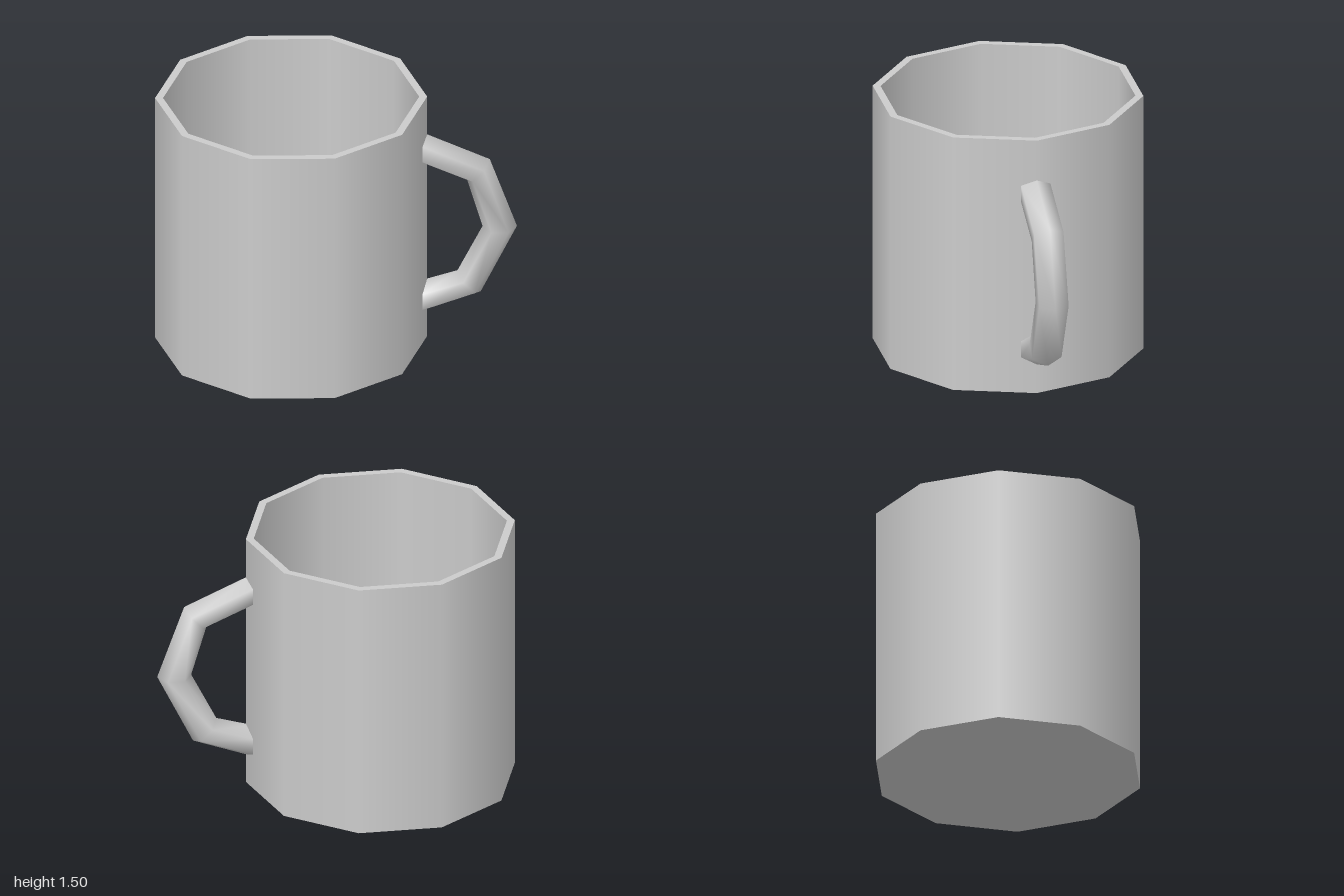
import * as THREE from 'three';

const SIDES = 10;
const material = new THREE.MeshStandardMaterial({ color: 0xcccccc });

// One smooth band of the cup, turned between two [radius, height] points
function band(name, a, b) {
  const points = [new THREE.Vector2(...a), new THREE.Vector2(...b)];
  const mesh = new THREE.Mesh(new THREE.LatheGeometry(points, SIDES, Math.PI / 2), material);
  mesh.name = name;
  return mesh;
}

// Six-sided tube lofted through mitred rings: [outerX, outerY, innerX, innerY]
function handleGeometry(rings, radius) {
  const n = 6, positions = [], indices = [];
  for (const [ox, oy, ix, iy] of rings) {
    for (let j = 0; j < n; j++) {
      const a = (j / n) * Math.PI * 2, c = Math.cos(a) / 2;
      positions.push((ox + ix) / 2 + (ox - ix) * c, (oy + iy) / 2 + (oy - iy) * c, radius * Math.sin(a));
    }
  }
  for (let i = 0; i < rings.length - 1; i++) {
    for (let j = 0; j < n; j++) {
      const a = i * n + j, b = i * n + (j + 1) % n;
      indices.push(a, b, a + n, b, b + n, a + n);
    }
  }
  const geometry = new THREE.BufferGeometry();
  geometry.setAttribute('position', new THREE.Float32BufferAttribute(positions, 3));
  geometry.setIndex(indices);
  geometry.computeVertexNormals();
  return geometry;
}

export function createModel() {
  const model = new THREE.Group();
  model.name = 'mug';

  // Cup: separate bands keep the rim and base edges sharp
  const cup = new THREE.Group();
  cup.name = 'cup';
  cup.position.x = -0.248;
  const R = 0.752, r = 0.708, H = 1.505, floor = 0.05;
  cup.add(
    band('base', [0, 0], [R, 0]),
    band('outerWall', [R, 0], [R, H]),
    band('rim', [R, H], [r, H]),
    band('innerWall', [r, H], [r, floor]),
    band('innerFloor', [r, floor], [0, floor]),
  );
  model.add(cup);

  // Handle: open ends are buried in the cup wall
  const handle = new THREE.Mesh(handleGeometry([
    [0.47, 1.283, 0.47, 1.093],
    [0.85, 1.11, 0.725, 0.98],
    [1.0, 0.69, 0.81, 0.69],
    [0.8, 0.28, 0.67, 0.41],
    [0.47, 0.159, 0.47, 0.351],
  ], 0.096), material);
  handle.name = 'handle';
  model.add(handle);

  return model;
}
